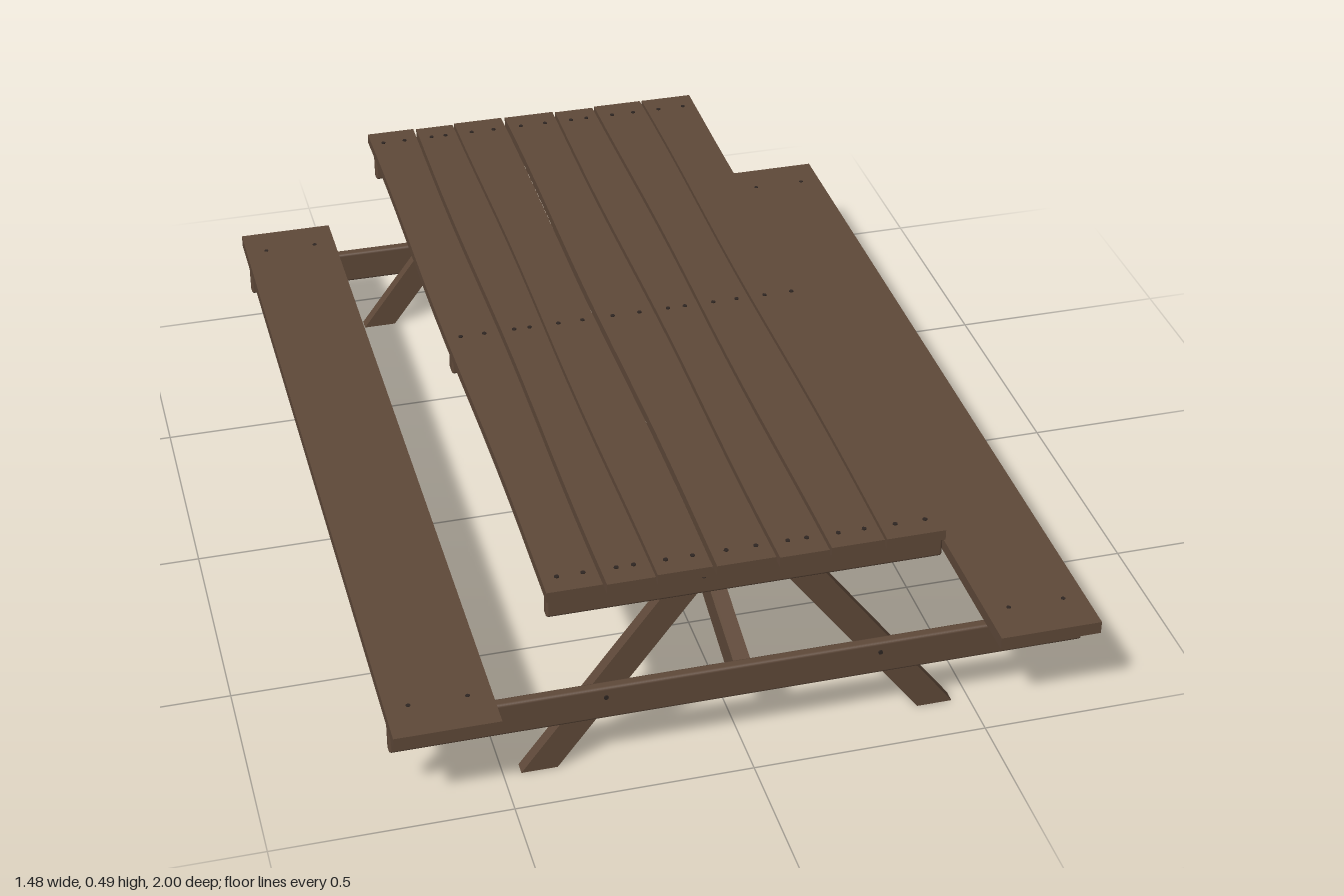
import * as THREE from 'three';
import { RoundedBoxGeometry } from 'three/addons/geometries/RoundedBoxGeometry.js';

export function createModel() {
  const model = new THREE.Group();
  model.name = 'picnicTable';
  const wood = new THREE.MeshStandardMaterial({ color: 0x5f4939 });
  wood.name = 'brownWood';
  const iron = new THREE.MeshStandardMaterial({ color: 0x2e2622 });
  iron.name = 'darkIron';

  const add = (name, geometry, material = wood) => {
    const mesh = new THREE.Mesh(geometry, material);
    mesh.name = name;
    model.add(mesh);
    return mesh;
  };
  // Softly rounded beam given by its limits on each axis
  const beam = (name, x0, x1, y0, y1, z0, z1, radius = 0.006) =>
    add(name, new RoundedBoxGeometry(x1 - x0, y1 - y0, z1 - z0, 2, radius))
      .position.set((x0 + x1) / 2, (y0 + y1) / 2, (z0 + z1) / 2);
  // Flat profile given a thickness
  const slab = (points, depth) => {
    const shape = new THREE.Shape(points.map(([x, y]) => new THREE.Vector2(x, y)));
    return new THREE.ExtrudeGeometry(shape, { depth, bevelEnabled: false });
  };
  // Low nail head, facing up or along z
  const nailGeometry = new THREE.CylinderGeometry(0.005, 0.005, 0.006, 8);
  const nail = (name, x, y, z, sideways = false) => {
    const mesh = add(name, nailGeometry, iron);
    mesh.position.set(x, y, z);
    if (sideways) mesh.rotation.x = Math.PI / 2;
  };

  // Table top: seven slightly uneven boards, each nailed at three beams
  const boards = [
    [-0.415, -0.302], [-0.295, -0.2], [-0.195, -0.08], [-0.071, 0.05],
    [0.056, 0.155], [0.161, 0.275], [0.28, 0.403],
  ];
  boards.forEach(([x0, x1], i) => {
    const geometry = new THREE.BoxGeometry(x1 - x0, 0.023, 1.92, 1, 1, 16);
    const p = geometry.attributes.position;
    for (let k = 0; k < p.count; k++) {
      const z = p.getZ(k);
      const side = Math.sign(p.getX(k));
      p.setX(k, p.getX(k) + 0.0025 * Math.sin(z * 5 + i * 2.1 + side));
    }
    geometry.computeVertexNormals();
    add('tableBoard', geometry).position.set((x0 + x1) / 2, 0.4785, -0.008 + 0.003 * Math.sin(i * 2));
    for (const z of [-0.915, 0, 0.905])
      for (const x of [x0 + 0.03, x1 - 0.03]) nail('boardNail', x, 0.489, z);
  });

  // Middle beam under the top
  beam('middleTopBeam', -0.41, 0.41, 0.405, 0.467, -0.016, 0.016);

  // Benches with a beam running along underneath
  for (const s of [-1, 1]) {
    const seat = add('benchSeat', new THREE.BoxGeometry(0.218, 0.028, 2));
    seat.position.set(s * 0.629, 0.217, 0);
    beam('benchBeam', s * 0.63 - 0.018, s * 0.63 + 0.018, 0.13, 0.204, -0.9, 0.9);
    for (const z of [-0.915, 0.905])
      for (const dx of [-0.06, 0.06]) nail('seatNail', s * 0.63 + dx, 0.229, z);
  }

  // Trestle at each end: two cross beams, two slanted legs, a diagonal brace
  for (const e of [-1, 1]) {
    const near = e * 0.894, far = e * 0.918;
    const z0 = Math.min(near, far), z1 = Math.max(near, far);
    beam('topCrossBeam', -0.41, 0.41, 0.402, 0.468, z0, z1);
    beam('seatCrossBeam', -0.735, 0.735, 0.125, 0.203, z0, z1);

    for (const s of [-1, 1]) {
      const points = [[0.387, 0], [0.463, 0], [0.113, 0.467], [0.037, 0.467]];
      const leg = add('leg', slab(points.map(([x, y]) => [s * x, y]), 0.028));
      leg.position.z = e * 0.882 - 0.014;
      nail('legBolt', s * 0.29, 0.18, e * 0.918, true);
      nail('legBolt', s * 0.09, 0.447, e * 0.918, true);
      nail('benchBolt', s * 0.63, 0.182, e * 0.918, true);
      nail('benchBolt', s * 0.63, 0.158, e * 0.918, true);
    }

    // Brace climbs from the seat cross beam to the middle of the top
    const brace = add('diagonalBrace',
      slab([[0.0, 0.467], [0.0, 0.42], [0.895, 0.13], [0.895, 0.2]].map(([z, y]) => [-e * z, y]), 0.036));
    brace.rotation.y = Math.PI / 2;
    brace.position.x = -0.018;
  }
  return model;
}
